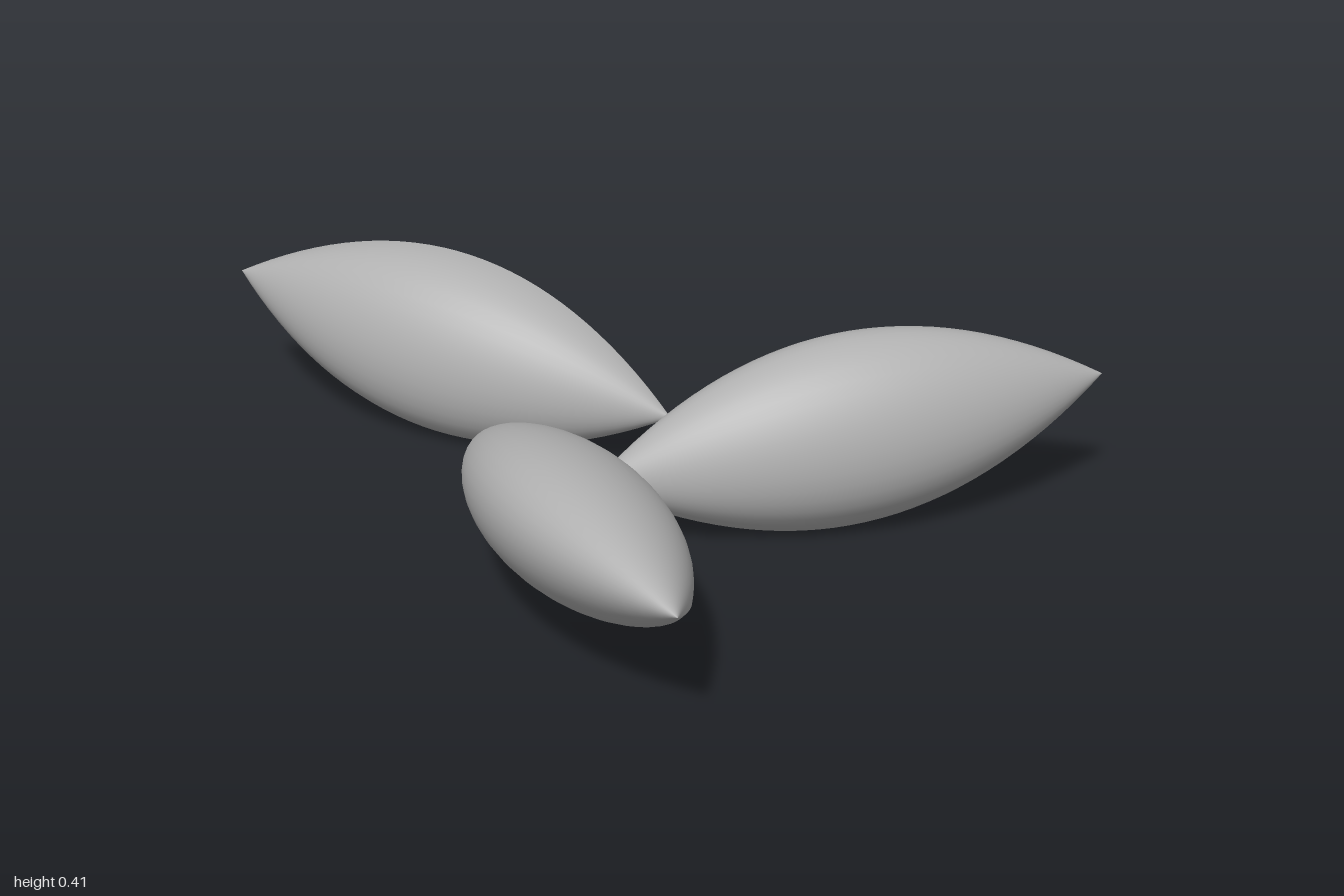
import * as THREE from 'three';

const grey = new THREE.MeshStandardMaterial({ color: 0xb0b0b0 });
grey.name = 'seedGrey';

const LENGTH_STEPS = 32, ROUND_STEPS = 40;
const MAJOR = 0.205, MINOR = 0.147;

// Pointed oval seed between two tips, with one sharp crease running along it.
// The crease angle is measured from straight up toward the seed's left.
function makeSeed(name, inner, outer, creaseDegrees) {
  const a = new THREE.Vector3(...inner), b = new THREE.Vector3(...outer);
  const along = b.clone().sub(a).normalize();
  const left = new THREE.Vector3(0, 1, 0).cross(along).normalize();
  const up = along.clone().cross(left);

  // major and minor directions of the cross-section
  const roll = THREE.MathUtils.degToRad(creaseDegrees);
  const major = up.clone().multiplyScalar(Math.cos(roll)).addScaledVector(left, Math.sin(roll));
  const minor = left.clone().multiplyScalar(Math.cos(roll)).addScaledVector(up, -Math.sin(roll));

  const positions = [], index = [], row = ROUND_STEPS + 1;
  for (let i = 0; i <= LENGTH_STEPS; i++) {
    const t = i / LENGTH_STEPS;
    const swell = 4 * t * (1 - t);
    for (let j = 0; j <= ROUND_STEPS; j++) {
      // oval section pinched to an edge at the seam
      const angle = (j / ROUND_STEPS) * Math.PI * 2;
      const pinch = Math.tanh(Math.min(angle, Math.PI * 2 - angle) / 0.45);
      const p = a.clone().lerp(b, t)
        .addScaledVector(major, swell * MAJOR * Math.cos(angle))
        .addScaledVector(minor, swell * MINOR * Math.sin(angle) * pinch);
      positions.push(p.x, p.y, p.z);
      if (i < LENGTH_STEPS && j < ROUND_STEPS) {
        const k = i * row + j;
        if (i > 0) index.push(k, k + row, k + 1);
        if (i < LENGTH_STEPS - 1 || i === 0) index.push(k + row, k + row + 1, k + 1);
        else index.push(k, k + row, k + 1);
      }
    }
  }
  const geometry = new THREE.BufferGeometry();
  geometry.setAttribute('position', new THREE.Float32BufferAttribute(positions, 3));
  geometry.setIndex(index);
  geometry.computeVertexNormals();
  const mesh = new THREE.Mesh(geometry, grey);
  mesh.name = name;
  return mesh;
}

export function createModel() {
  const group = new THREE.Group();
  group.name = 'seeds';
  group.add(
    makeSeed('frontSeed', [-0.29, 0.14, -0.21], [0.25, 0.275, 0.8], 121),
    makeSeed('backRightSeed', [0.075, 0.13, -0.41], [-1, 0.275, -0.79], -18),
    makeSeed('backLeftSeed', [-0.04, 0.135, -0.02], [1, 0.275, -0.46], 195),
  );
  return group;
}
